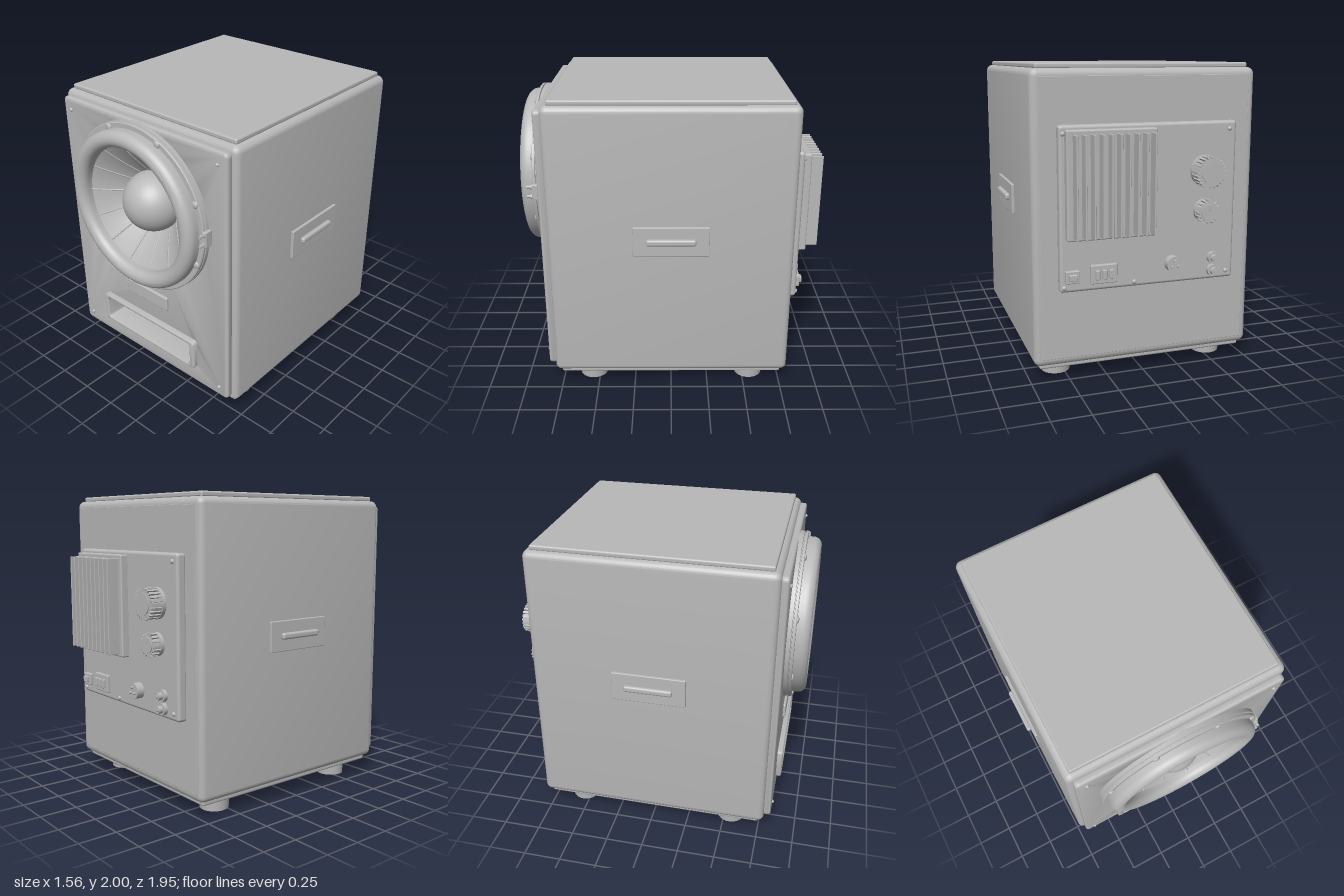
import * as THREE from 'three';
import { toCreasedNormals } from 'three/addons/utils/BufferGeometryUtils.js';
import { RoundedBoxGeometry } from 'three/addons/geometries/RoundedBoxGeometry.js';

const grey = new THREE.MeshStandardMaterial({ color: 0xb8b8b8 });
grey.name = 'plain grey';

function add(parent, name, geometry, x = 0, y = 0, z = 0) {
  const mesh = new THREE.Mesh(geometry, grey);
  mesh.name = name;
  mesh.position.set(x, y, z);
  parent.add(mesh);
  return mesh;
}

// Box with rounded edges, given by its extents
function block(parent, name, x0, x1, y0, y1, z0, z1, r = 0.01) {
  const g = new RoundedBoxGeometry(x1 - x0, y1 - y0, z1 - z0, 3, r);
  return add(parent, name, g, (x0 + x1) / 2, (y0 + y1) / 2, (z0 + z1) / 2);
}

// Cylinder running along z from z0 to z1
function disc(parent, name, r, x, y, z0, z1, rEnd = r, sides = 32) {
  const g = new THREE.CylinderGeometry(rEnd, r, Math.abs(z1 - z0), sides);
  g.rotateX(z1 > z0 ? Math.PI / 2 : -Math.PI / 2);
  return add(parent, name, g, x, y, (z0 + z1) / 2);
}

function dome(parent, name, r, x, y, z, depth) {
  const mesh = add(parent, name, new THREE.SphereGeometry(r, 16, 10), x, y, z);
  mesh.scale.z = depth / r;
  return mesh;
}

function roundRect(path, x0, x1, y0, y1, r) {
  path.moveTo(x0 + r, y0);
  path.lineTo(x1 - r, y0);
  path.absarc(x1 - r, y0 + r, r, -Math.PI / 2, 0);
  path.lineTo(x1, y1 - r);
  path.absarc(x1 - r, y1 - r, r, 0, Math.PI / 2);
  path.lineTo(x0 + r, y1);
  path.absarc(x0 + r, y1 - r, r, Math.PI / 2, Math.PI);
  path.lineTo(x0, y0 + r);
  path.absarc(x0 + r, y0 + r, r, Math.PI, Math.PI * 1.5);
  return path;
}

const circle = (r) => new THREE.Path().absarc(0, CY, r, 0, Math.PI * 2);

// Panel with openings and a rounded edge, from z0 to z1
function panel(parent, name, shape, holes, z0, z1, bevel) {
  shape.holes.push(...holes);
  const g = new THREE.ExtrudeGeometry(shape, {
    depth: z1 - z0 - 2 * bevel, bevelSize: bevel, bevelThickness: bevel,
    bevelOffset: -bevel, bevelSegments: 4, curveSegments: 24,
  });
  return add(parent, name, toCreasedNormals(g, 0.6), 0, 0, z0 + bevel);
}

// Turned part facing the front, from [radius, z] points
function turned(parent, name, points) {
  const g = new THREE.LatheGeometry(points.map(([r, z]) => new THREE.Vector2(r, z)), 72);
  g.rotateX(Math.PI / 2);
  return add(parent, name, toCreasedNormals(g, 0.6), 0, CY, 0);
}

const CY = 1.375; // height of the driver axis

function buildCabinet(root) {
  const g = new THREE.Group();
  g.name = 'cabinet';
  root.add(g);
  const port = (w, h) => roundRect(new THREE.Path(), -w, w, 0.405 - h, 0.405 + h, 0.02);

  panel(g, 'body', roundRect(new THREE.Shape(), -0.735, 0.735, 0.12, 1.97, 0.045),
    [circle(0.46), port(0.41, 0.09)], -0.79, 0.79, 0.04);
  block(g, 'backPanel', -0.69, 0.69, 0.165, 1.925, -0.791, -0.77, 0.004);
  panel(g, 'frontBaffle', roundRect(new THREE.Shape(), -0.7, 0.7, 0.16, 1.94, 0.03),
    [circle(0.5), port(0.4, 0.09)], 0.78, 0.835, 0.018);
  block(g, 'topPlate', -0.695, 0.695, 1.965, 2, -0.75, 0.75, 0.012);
  block(g, 'bottomPlate', -0.695, 0.695, 0.09, 0.125, -0.75, 0.75, 0.012);

  // Port sleeve and its closed end
  panel(g, 'portFrame', roundRect(new THREE.Shape(), -0.4375, 0.4375, 0.295, 0.515, 0.025),
    [port(0.395, 0.082)], 0.45, 0.872, 0.014);
  block(g, 'portEnd', -0.42, 0.42, 0.31, 0.5, 0.45, 0.48);
  block(g, 'namePlate', -0.19, 0.185, 0.64, 0.745, 0.825, 0.853);

  for (const x of [-1, 1]) {
    for (const y of [0.235, 1.86]) dome(g, 'baffleScrew', 0.013, x * 0.63, y, 0.835, 0.014);
    for (const z of [-1, 1]) {
      add(g, 'foot', new THREE.CylinderGeometry(0.1, 0.095, 0.08, 32), x * 0.545, 0.04, z * 0.545);
      add(g, 'footRim', new THREE.CylinderGeometry(0.105, 0.105, 0.025, 32), x * 0.545, 0.083, z * 0.545);
    }
    // Side handles
    const xs = (a, b) => (x > 0 ? [a, b] : [-b, -a]);
    block(g, 'handlePlate', ...xs(0.725, 0.753), 1.0, 1.2, -0.245, 0.245, 0.005);
    block(g, 'handleGrip', ...xs(0.745, 0.78), 1.08, 1.122, -0.16, 0.16, 0.014);
  }
}

function buildDriver(root) {
  const g = new THREE.Group();
  g.name = 'driver';
  root.add(g);

  turned(g, 'flange', [[0.565, 0.82], [0.565, 0.86], [0.555, 0.862], [0.555, 0.867],
    [0.565, 0.869], [0.565, 0.883], [0.56, 0.887], [0.44, 0.887]]);

  // Rolled surround
  const roll = [[0.53, 0.88]];
  for (let i = 0; i <= 16; i++) {
    const a = (i / 16) * Math.PI;
    roll.push([0.475 + 0.055 * Math.cos(a), 0.922 + 0.055 * Math.sin(a)]);
  }
  roll.push([0.42, 0.89]);
  turned(g, 'surround', roll);

  // Curved cone with thin radial ribs
  const profile = new THREE.QuadraticBezierCurve(new THREE.Vector2(0.43, 0.9),
    new THREE.Vector2(0.29, 0.81), new THREE.Vector2(0.14, 0.67));
  turned(g, 'cone', [...profile.getPoints(12).map((p) => [p.x, p.y]), [0, 0.66]]);
  const ribPath = new THREE.CatmullRomCurve3(
    profile.getPoints(6).map((p) => new THREE.Vector3(p.x, 0, p.y)));
  const ribGeometry = new THREE.TubeGeometry(ribPath, 10, 0.005, 6);
  for (let i = 0; i < 14; i++) {
    add(g, 'coneRib', ribGeometry, 0, CY, 0).rotation.z = (i / 14) * Math.PI * 2;
  }
  add(g, 'dustCap', new THREE.SphereGeometry(0.2, 48, 32), 0, CY, 0.74);

  for (let i = 0; i < 8; i++) {
    const a = ((i + 0.5) / 8) * Math.PI * 2;
    dome(g, 'flangeBolt', 0.024, 0.54 * Math.cos(a), CY + 0.54 * Math.sin(a), 0.887, 0.012);
  }

  // Wire terminal on the flange
  block(g, 'terminalBlock', 0.545, 0.585, 1.32, 1.425, 0.835, 0.89, 0.006);
  for (const y of [1.34, 1.405]) {
    disc(g, 'terminalPost', 0.01, 0.565, y, 0.88, 0.925, 0.01, 12);
    disc(g, 'terminalNut', 0.017, 0.565, y, 0.885, 0.9, 0.017, 12);
  }
}

function buildKnob(g, name, r, x, y, end, ridges) {
  disc(g, name + 'Skirt', r, x, y, -0.84, -0.872);
  disc(g, name, r * 0.92, x, y, -0.865, end, r * 0.86);
  disc(g, name + 'Cap', r * 0.7, x, y, end, end - 0.006);
  for (let i = 0; i < ridges; i++) {
    const a = (i / ridges) * Math.PI * 2;
    const ridge = add(g, name + 'Ridge', new THREE.BoxGeometry(0.016, r * 0.16, end * -1 - 0.875),
      x + r * 0.92 * Math.cos(a), y + r * 0.92 * Math.sin(a), (end - 0.875) / 2);
    ridge.rotation.z = a;
  }
}

function buildAmplifier(root) {
  const g = new THREE.Group();
  g.name = 'amplifier';
  root.add(g);
  block(g, 'amplifierPlate', -0.585, 0.58, 0.613, 1.64, -0.848, -0.78, 0.02);

  // Heat sink
  block(g, 'heatSinkBase', -0.03, 0.545, 0.945, 1.615, -0.897, -0.84, 0.01);
  for (let i = 0; i < 10; i++) {
    const x = 0.01 + i * 0.0545;
    block(g, 'heatSinkFin', x - 0.006, x + 0.006, 0.965, 1.59, -0.977, -0.89, 0.003);
  }

  // Controls
  buildKnob(g, 'volumeKnob', 0.1, -0.37, 1.33, -0.955, 24);
  buildKnob(g, 'crossoverKnob', 0.075, -0.37, 1.075, -0.925, 16);
  block(g, 'knobPointer', -0.376, -0.364, 1.085, 1.125, -0.937, -0.92, 0.003);

  // Balanced input with three pins
  disc(g, 'inputSocket', 0.052, -0.155, 0.745, -0.84, -0.9);
  for (let i = 0; i < 3; i++) {
    const a = Math.PI / 2 + (i / 3) * Math.PI * 2;
    disc(g, 'inputPin', 0.009, -0.155 + 0.025 * Math.cos(a), 0.745 + 0.025 * Math.sin(a),
      -0.89, -0.92, 0.009, 10);
  }

  // Line jacks
  for (const y of [0.76, 0.675]) {
    disc(g, 'lineJack', 0.038, -0.435, y, -0.84, -0.875);
    disc(g, 'lineJackBarrel', 0.024, -0.435, y, -0.87, -0.905);
    disc(g, 'lineJackTip', 0.01, -0.435, y, -0.9, -0.915, 0.01, 12);
  }

  // Switch bank and power socket
  block(g, 'switchBank', 0.22, 0.39, 0.66, 0.78, -0.872, -0.84, 0.006);
  for (let i = -1; i <= 1; i++) {
    const x = 0.305 + i * 0.045;
    block(g, 'rocker', x - 0.013, x + 0.013, 0.69, 0.75, -0.892, -0.865, 0.005);
  }
  block(g, 'powerSocket', 0.46, 0.55, 0.675, 0.755, -0.872, -0.84, 0.006);
  block(g, 'powerSwitch', 0.48, 0.53, 0.695, 0.735, -0.89, -0.865, 0.005);

  for (const [x, y] of [[-0.535, 1.59], [-0.535, 0.66], [0.555, 1.59], [0.555, 0.645], [0.1, 0.645]]) {
    dome(g, 'plateScrew', 0.015, x, y, -0.848, 0.012);
  }
}

export function createModel() {
  const root = new THREE.Group();
  root.name = 'subwoofer';
  buildCabinet(root);
  buildDriver(root);
  buildAmplifier(root);
  return root;
}
